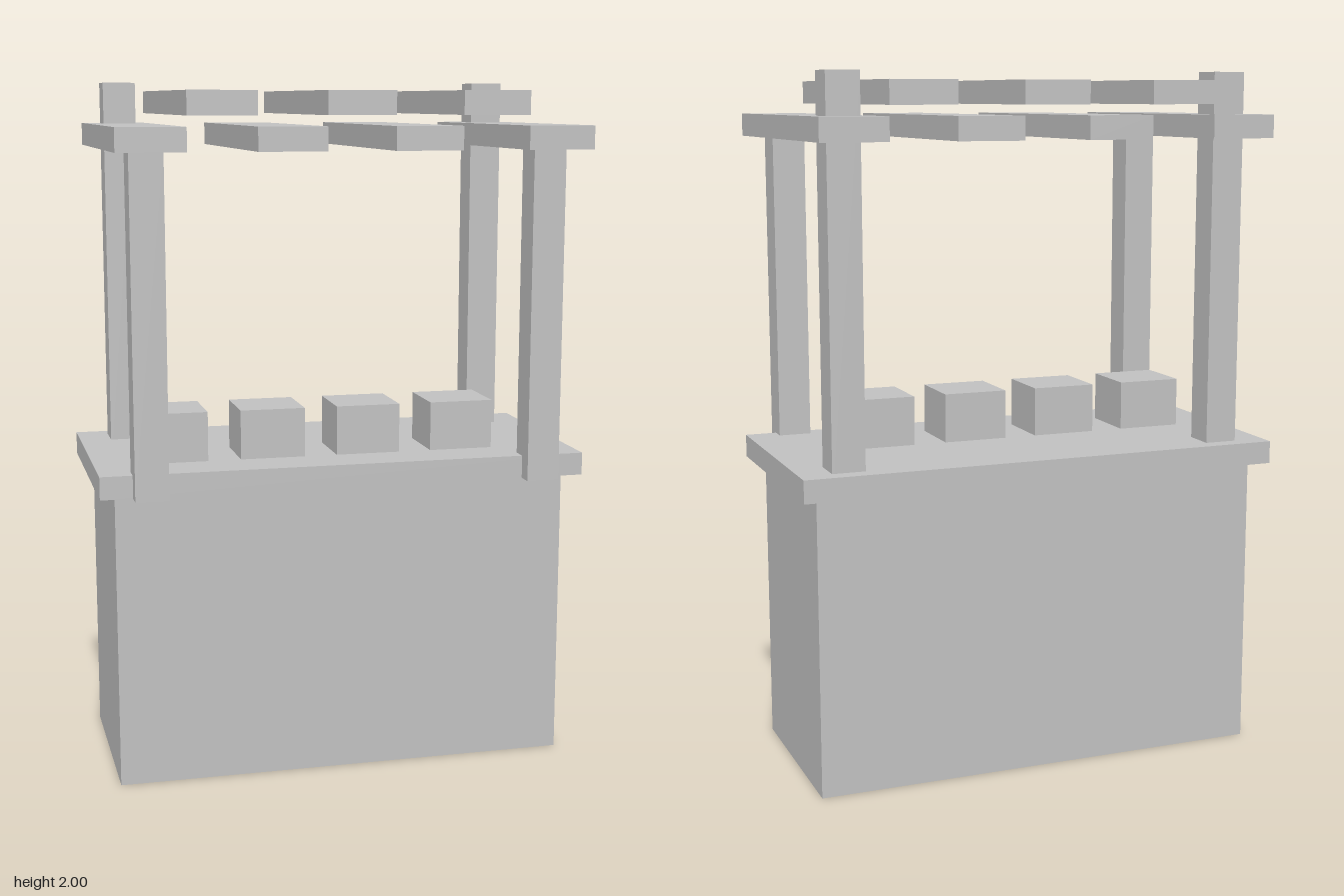
import * as THREE from 'three';

export function createModel() {
  const stall = new THREE.Group();
  stall.name = 'marketStall';
  const grey = new THREE.MeshStandardMaterial({ color: 0xc0c0c0 });
  grey.name = 'plain grey';

  // Box given by its [min, max] range on each axis
  function block(name, [x0, x1], [y0, y1], [z0, z1]) {
    const mesh = new THREE.Mesh(new THREE.BoxGeometry(x1 - x0, y1 - y0, z1 - z0), grey);
    mesh.position.set((x0 + x1) / 2, (y0 + y1) / 2, (z0 + z1) / 2);
    mesh.name = name;
    stall.add(mesh);
  }
  const around = (centre, size) => [centre - size / 2, centre + size / 2];

  // Counter body and its overhanging top
  block('counter', [-0.667, 0.663], [0, 0.86], [-0.332, 0.238]);
  block('countertop', [-0.713, 0.71], [0.86, 0.926], [-0.38, 0.285]);

  // Posts: the back pair rises through the roof, the front pair stops under it
  for (const x of [-0.573, 0.57]) {
    block('backPost', around(x, 0.095), [0.86, 2], [-0.333, -0.238]);
    block('frontPost', around(x, 0.095), [0.86, 1.815], [0.238, 0.333]);
  }

  // Roof slats alternate between a low and a high layer
  for (let i = 0; i < 7; i++) {
    const y = i % 2 ? 1.91 : 1.815;
    block('roofSlat', around(-0.002 + (i - 3) * 0.19, 0.19), [y, y + 0.066], [-0.427, 0.427]);
  }

  // Row of goods on the counter
  for (let i = 0; i < 4; i++) {
    block('goodsBox', around(-0.479 + i * 0.286, 0.19), [0.926, 1.07], [-0.044, 0.144]);
  }

  return stall;
}
